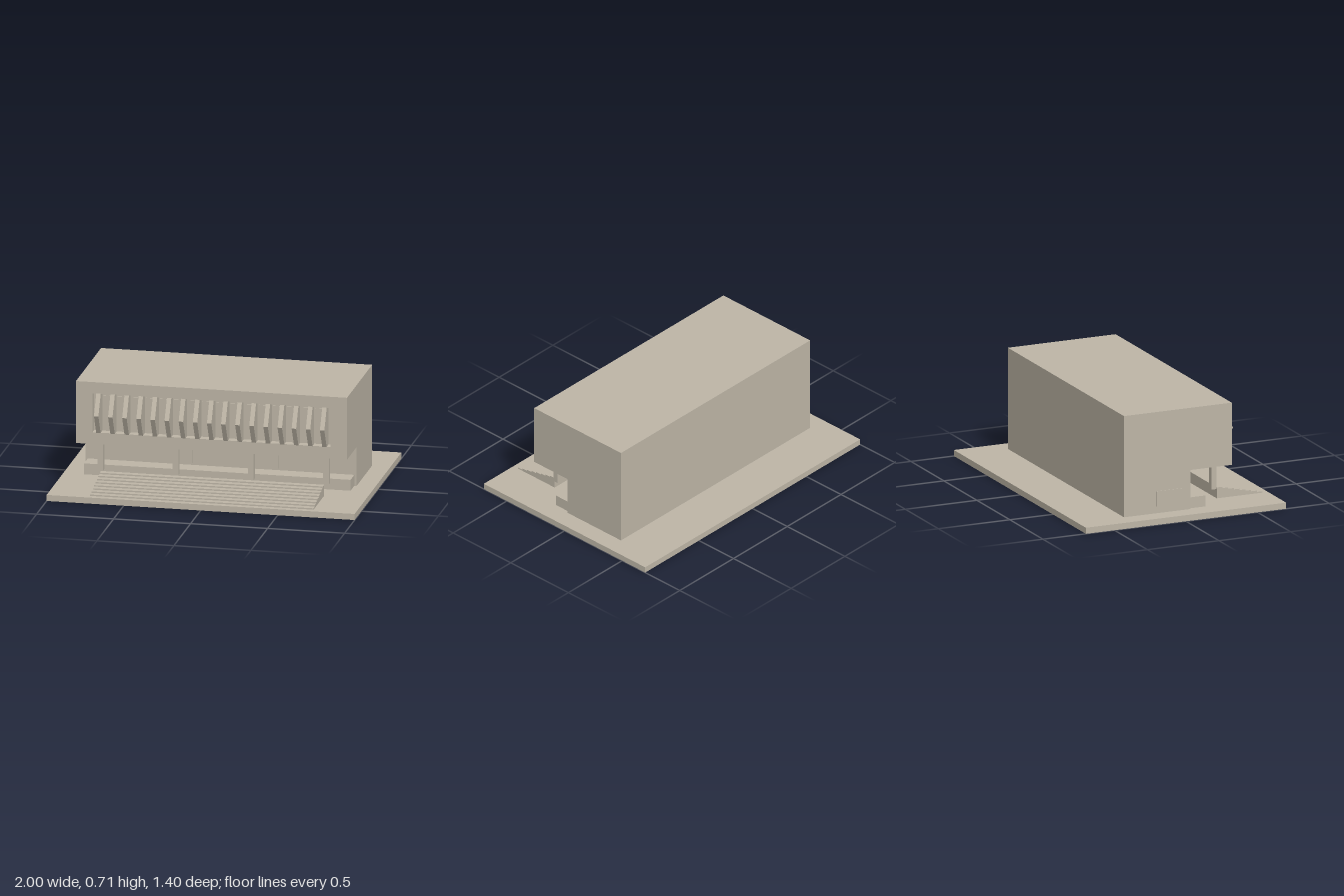
import * as THREE from 'three';

export function createModel() {
  const model = new THREE.Group();
  model.name = 'pavilionBuilding';
  const stone = new THREE.MeshStandardMaterial({ color: 0xbdb5a6 });
  stone.name = 'warm stone';

  const add = (name, geometry) => {
    const mesh = new THREE.Mesh(geometry, stone);
    mesh.name = name;
    model.add(mesh);
    return mesh;
  };
  // Box given by its lower and upper limits on each axis
  const box = (name, x0, x1, y0, y1, z0, z1) =>
    add(name, new THREE.BoxGeometry(x1 - x0, y1 - y0, z1 - z0)
      .translate((x0 + x1) / 2, (y0 + y1) / 2, (z0 + z1) / 2));
  // Side profile of [z, y] points, extruded across x
  const profile = (name, points, width, x = 0) => {
    const shape = new THREE.Shape(points.map(([z, y]) => new THREE.Vector2(z, y)));
    const geometry = new THREE.ExtrudeGeometry(shape, { depth: width, bevelEnabled: false });
    return add(name, geometry.translate(0, 0, -width / 2).rotateY(-Math.PI / 2).translate(x, 0, 0));
  };

  const ground = 0.04, roof = 0.707, overhang = 0.297, half = 0.88;
  const front = 0.375, recess = 0.325, back = -0.378, lowerFront = 0.086;

  box('basePlate', -1, 1, 0, ground, -0.7, 0.7);

  // Main volume with the upper storey projecting over the entrance
  profile('mainVolume', [
    [back, ground], [lowerFront, ground], [lowerFront, overhang],
    [recess, overhang], [recess, roof], [back, roof],
  ], half * 2);

  // Facade slab with the long louvre opening
  const rect = (Type, x, y0, y1) => new Type([
    new THREE.Vector2(-x, y0), new THREE.Vector2(x, y0),
    new THREE.Vector2(x, y1), new THREE.Vector2(-x, y1),
  ]);
  const facade = rect(THREE.Shape, half, overhang, roof);
  facade.holes.push(rect(THREE.Path, 0.773, 0.375, 0.633));
  add('facade', new THREE.ExtrudeGeometry(facade, { depth: front - recess, bevelEnabled: false })
    .translate(0, 0, recess));

  // Pointed vertical fins, with a thin window pane in each bay
  const count = 17, pitch = 0.0917;
  for (let i = 0; i < count; i++) {
    const x = (i - (count - 1) / 2) * pitch;
    profile('louvreFin', [
      [recess, 0.375], [front, 0.372], [0.445, 0.502], [front, 0.633], [recess, 0.633],
    ], 0.029, x);
    if (i < count - 1) {
      const c = x + pitch / 2;
      box('louvreWindow', c - 0.023, c + 0.023, 0.383, 0.61, recess, recess + 0.006);
    }
  }

  // Entrance windows on the recessed lower wall
  for (let i = -2; i <= 2; i++) {
    box('entranceWindow', i * 0.281 - 0.094, i * 0.281 + 0.094, 0.125, 0.272, lowerFront, lowerFront + 0.005);
  }
  box('sideWindow', -half - 0.004, -half, 0.085, 0.185, -0.15, 0.04);

  // Terrace along the lower wall and columns under the overhang
  box('terrace', -0.865, 0.865, ground, 0.112, lowerFront, 0.2);
  for (const x of [-0.733, -0.245, 0.245, 0.733]) {
    box('column', x - 0.019, x + 0.019, 0.11, overhang, 0.291, 0.327);
  }

  // Wide entrance stair
  const steps = 8, stairBack = 0.342, tread = 0.04, rise = 0.072 / steps;
  const stair = [[stairBack, ground], [stairBack + tread * steps, ground]];
  for (let i = 0; i < steps; i++) {
    const y = ground + rise * (i + 1);
    stair.push([stairBack + tread * (steps - i), y], [stairBack + tread * (steps - i - 1), y]);
  }
  profile('entranceStair', stair, 1.45);

  return model;
}
